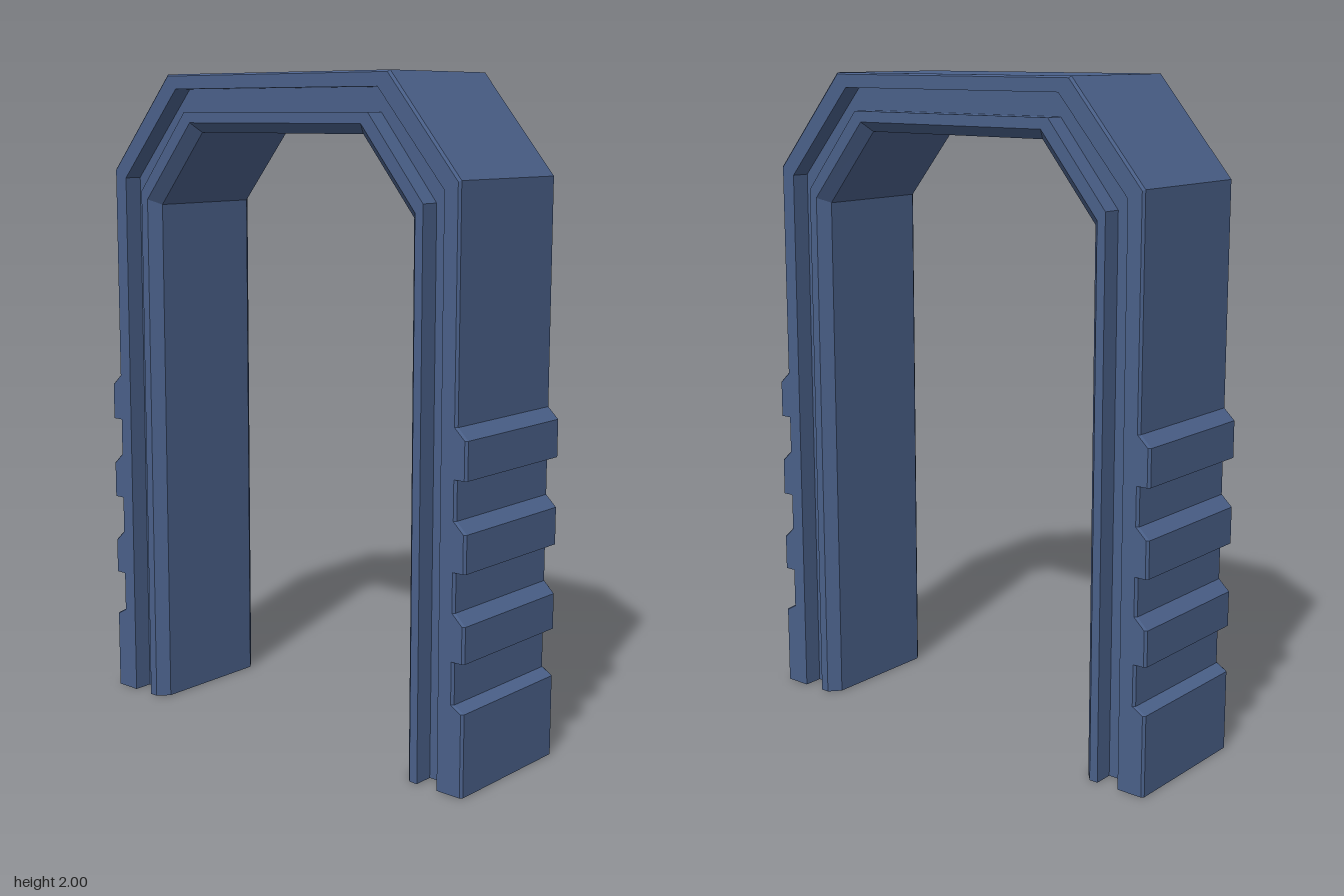
import * as THREE from 'three';

const DEPTH = 0.223;   // half depth of the frame
const GROOVE = 0.06;   // groove depth on both faces
const BEVEL = 0.007;   // fine bevel on the outer edges

// Outline of the right leg from the floor up: [y, outer x], including the ribs
const LEG = [[0, 0.715], [0.245, 0.715], [0.265, 0.68]];
for (const [low, high] of [[0.39, 0.53], [0.646, 0.79], [0.906, 1.05]]) {
  LEG.push([low + 0.025, 0.68], [low, 0.715], [high - 0.033, 0.715], [high, 0.68]);
}
LEG.sort((a, b) => a[0] - b[0]);
// The underside of each rib is undercut, so its outer corner comes before its inner one
for (let i = 1; i < LEG.length; i++) {
  const rib = [0.39, 0.646, 0.906].find((low) => Math.abs(LEG[i][0] - low - 0.025) < 1e-6);
  if (rib !== undefined) [LEG[i - 1], LEG[i]] = [LEG[i], LEG[i - 1]];
}

// Rails of the frame, outside to inside: leg x, then lower and upper arch corners
const RAILS = {
  outer: { leg: 0.68, low: [0.68, 1.71], high: [0.435, 2.0] },
  grooveOut: { leg: 0.628, low: [0.628, 1.684], high: [0.396, 1.956] },
  grooveIn: { leg: 0.557, low: [0.557, 1.645], high: [0.361, 1.888] },
  lip: { leg: 0.53, low: [0.53, 1.62], high: [0.337, 1.856] },
  inner: { leg: 0.5, low: [0.5, 1.604], high: [0.318, 1.827] },
};

// Closed cross-section at one station; pick(name) gives the [x, y] of a rail there
function makeRing(pick) {
  const o = pick('outer'), g = pick('grooveOut');
  const d = Math.hypot(g[0] - o[0], g[1] - o[1]);
  const bevelled = [0, 1].map((k) => o[k] + (g[k] - o[k]) * BEVEL / d);
  const half = [
    [o, DEPTH - BEVEL], [bevelled, DEPTH],
    [g, DEPTH], [g, DEPTH - GROOVE],
    [pick('grooveIn'), DEPTH - GROOVE], [pick('grooveIn'), DEPTH],
    [pick('lip'), DEPTH], [pick('inner'), DEPTH - 0.035],
  ];
  const front = half.map(([p, z]) => new THREE.Vector3(p[0], p[1], z));
  const back = half.map(([p, z]) => new THREE.Vector3(p[0], p[1], -z)).reverse();
  return [...front, ...back];
}

function archGeometry() {
  // Stations up the right leg and over its corners, then mirrored down the left
  const right = LEG.map(([y, x]) => makeRing((n) => [n === 'outer' ? x : RAILS[n].leg, y]));
  right.push(makeRing((n) => RAILS[n].low), makeRing((n) => RAILS[n].high));
  const left = right.map((r) => r.map((p) => new THREE.Vector3(-p.x, p.y, p.z))).reverse();
  const rings = [...right, ...left];

  const positions = [];
  const tri = (a, b, c) => [a, b, c].forEach((p) => positions.push(p.x, p.y, p.z));
  for (let i = 0; i < rings.length - 1; i++) {
    const r = rings[i], s = rings[i + 1], n = r.length;
    for (let j = 0; j < n; j++) {
      const k = (j + 1) % n;
      tri(r[j], s[j], r[k]);
      tri(r[k], s[j], s[k]);
    }
  }

  // Soles of both feet
  const start = rings[0], end = rings[rings.length - 1];
  const contour = start.map((p) => new THREE.Vector2(p.x, p.z));
  for (const [a, b, c] of THREE.ShapeUtils.triangulateShape(contour, [])) {
    tri(start[a], start[b], start[c]);
    tri(end[a], end[c], end[b]);
  }

  const geometry = new THREE.BufferGeometry();
  geometry.setAttribute('position', new THREE.Float32BufferAttribute(positions, 3));
  geometry.computeVertexNormals();
  return geometry;
}

export function createModel() {
  const group = new THREE.Group();
  group.name = 'archway';
  const steel = new THREE.MeshStandardMaterial({ color: 0x4a6089 });
  steel.name = 'slate blue';
  const arch = new THREE.Mesh(archGeometry(), steel);
  arch.name = 'ribbedDoorFrame';
  group.add(arch);
  return group;
}
